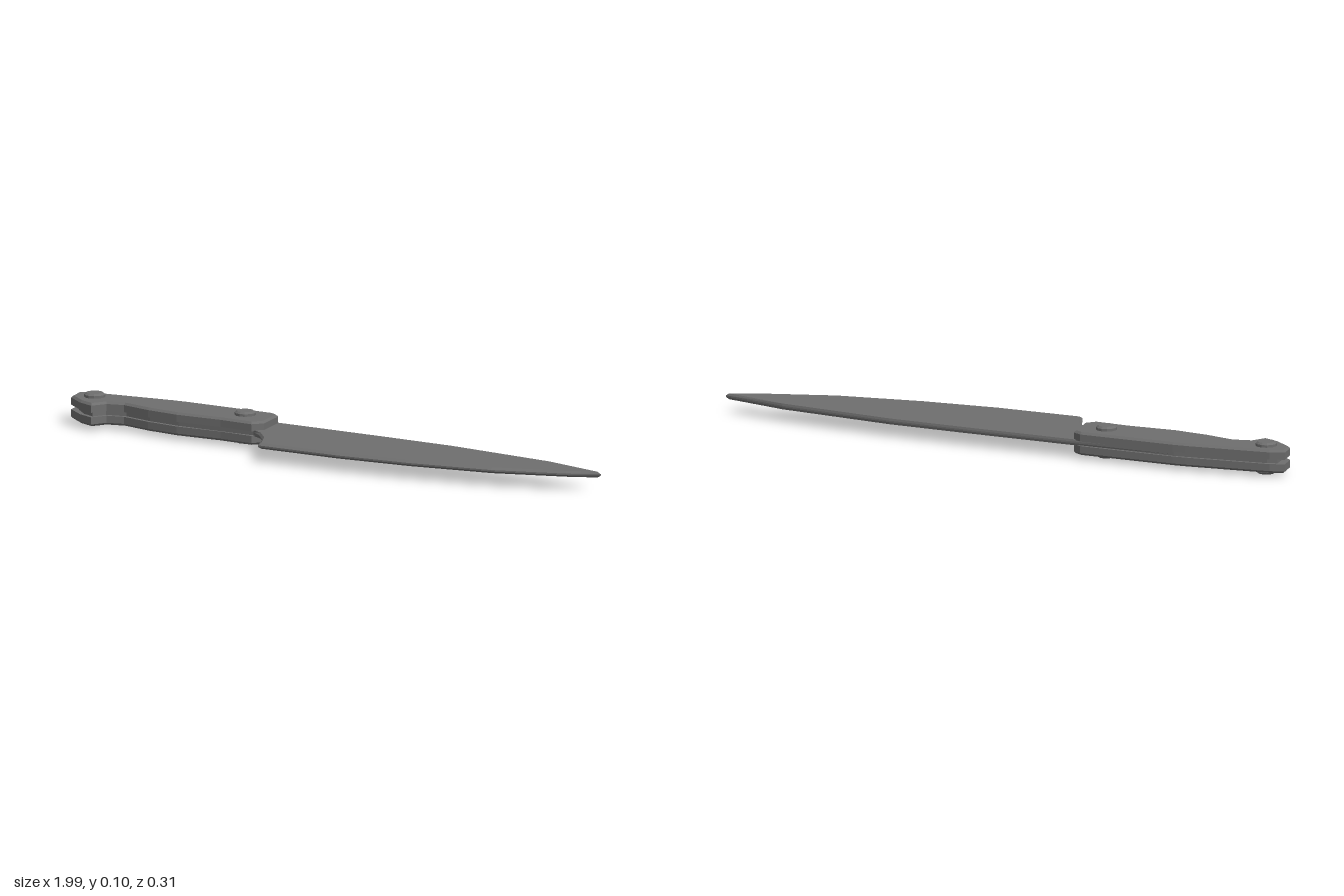
import * as THREE from 'three';

// Outlines run clockwise seen from above, as [x, z, bevel width]
const B = 0.007, E = 0.01, S = 0.002;
const handleOutline = [
  [-0.998, -0.088, B], [-0.953, -0.107, B], [-0.675, -0.147, B], [-0.63, -0.151, B],
  [-0.305, -0.157, B], [-0.275, -0.142, B], [-0.254, -0.03, B], [-0.28, 0.005, B],
  [-0.40, 0.002, B], [-0.56, 0.013, B], [-0.675, 0.003, B], [-0.78, -0.019, B],
  [-0.836, -0.003, B], [-0.862, 0.047, B], [-0.92, 0.024, B], [-0.985, -0.024, B],
];
const bladeOutline = [
  [-0.97, -0.085, 0], [-0.94, -0.098, 0], [-0.63, -0.143, 0], [-0.26, -0.149, S],
  [0.10, -0.155, S], [0.375, -0.156, S], [0.77, -0.126, S], [0.996, -0.078, 0.006],
  [0.90, -0.023, E], [0.67, 0.062, E], [0.39, 0.116, E], [0.136, 0.144, E],
  [-0.157, 0.153, E], [-0.195, 0.07, 0.006], [-0.24, 0.02, 0.006], [-0.28, -0.008, 0],
  [-0.56, 0.001, 0], [-0.675, -0.009, 0], [-0.78, -0.031, 0], [-0.845, -0.013, 0],
  [-0.868, 0.03, 0], [-0.912, 0.012, 0], [-0.962, -0.033, 0],
];

// Moves every corner inward along its mitre by its own bevel width
function inset(pts) {
  const n = pts.length;
  return pts.map((p, i) => {
    const a = pts[(i + n - 1) % n], b = pts[(i + 1) % n];
    const d1 = new THREE.Vector2(p.x - a.x, p.y - a.y).normalize();
    const d2 = new THREE.Vector2(b.x - p.x, b.y - p.y).normalize();
    const m = new THREE.Vector2(-d1.y - d2.y, d1.x + d2.x).normalize();
    const miter = Math.max(0.5, m.dot(new THREE.Vector2(-d1.y, d1.x)));
    return new THREE.Vector2(p.x + m.x * p.d / miter, p.y + m.y * p.d / miter);
  });
}

// Stacks outline rings from bottom to top; levels are [height, inset?]
function stack(outline, levels) {
  const full = outline.map(([x, z, d]) => Object.assign(new THREE.Vector2(x, -z), { d })).reverse();
  const small = inset(full);
  const n = full.length, pos = [], index = [];
  for (const [y, isInset] of levels) {
    for (const p of isInset ? small : full) pos.push(p.x, y, -p.y);
  }
  const top = (levels.length - 1) * n;
  for (let r = 0; r < top; r += n) {
    for (let i = 0; i < n; i++) {
      const j = (i + 1) % n;
      index.push(r + i, r + j, r + n + j, r + i, r + n + j, r + n + i);
    }
  }
  for (const [a, b, c] of THREE.ShapeUtils.triangulateShape(full, [])) {
    index.push(top + a, top + b, top + c, c, b, a);
  }
  const g = new THREE.BufferGeometry();
  g.setAttribute('position', new THREE.Float32BufferAttribute(pos, 3));
  g.setIndex(index);
  const flat = g.toNonIndexed();
  flat.computeVertexNormals();
  return flat;
}

export function createModel() {
  const group = new THREE.Group();
  group.name = 'knife';
  const steel = new THREE.MeshStandardMaterial({ color: 0x6e6e6e });
  steel.name = 'dark grey';
  steel.flatShading = true;
  const add = (name, geometry) => {
    const mesh = new THREE.Mesh(geometry, steel);
    mesh.name = name;
    group.add(mesh);
    return mesh;
  };

  // Blade and tang in one piece, ground to a thin cutting edge
  add('blade', stack(bladeOutline, [[0.042, true], [0.049, false], [0.054, false], [0.061, true]]));

  // Handle scales, bevelled on their outer faces
  add('upperHandleScale', stack(handleOutline, [[0.059, false], [0.082, false], [0.089, true]]));
  add('lowerHandleScale', stack(handleOutline, [[0.014, true], [0.021, false], [0.044, false]]));

  // Rivets through the handle with chamfered heads
  const profile = [[0, 0], [0.027, 0], [0.034, 0.006], [0.034, 0.097], [0.027, 0.103], [0, 0.103]]
    .map(([r, y]) => new THREE.Vector2(r, y));
  for (const [name, x, z] of [['rearRivet', -0.913, -0.05], ['frontRivet', -0.36, -0.081]]) {
    add(name, new THREE.LatheGeometry(profile, 12)).position.set(x, 0, z);
  }
  return group;
}
